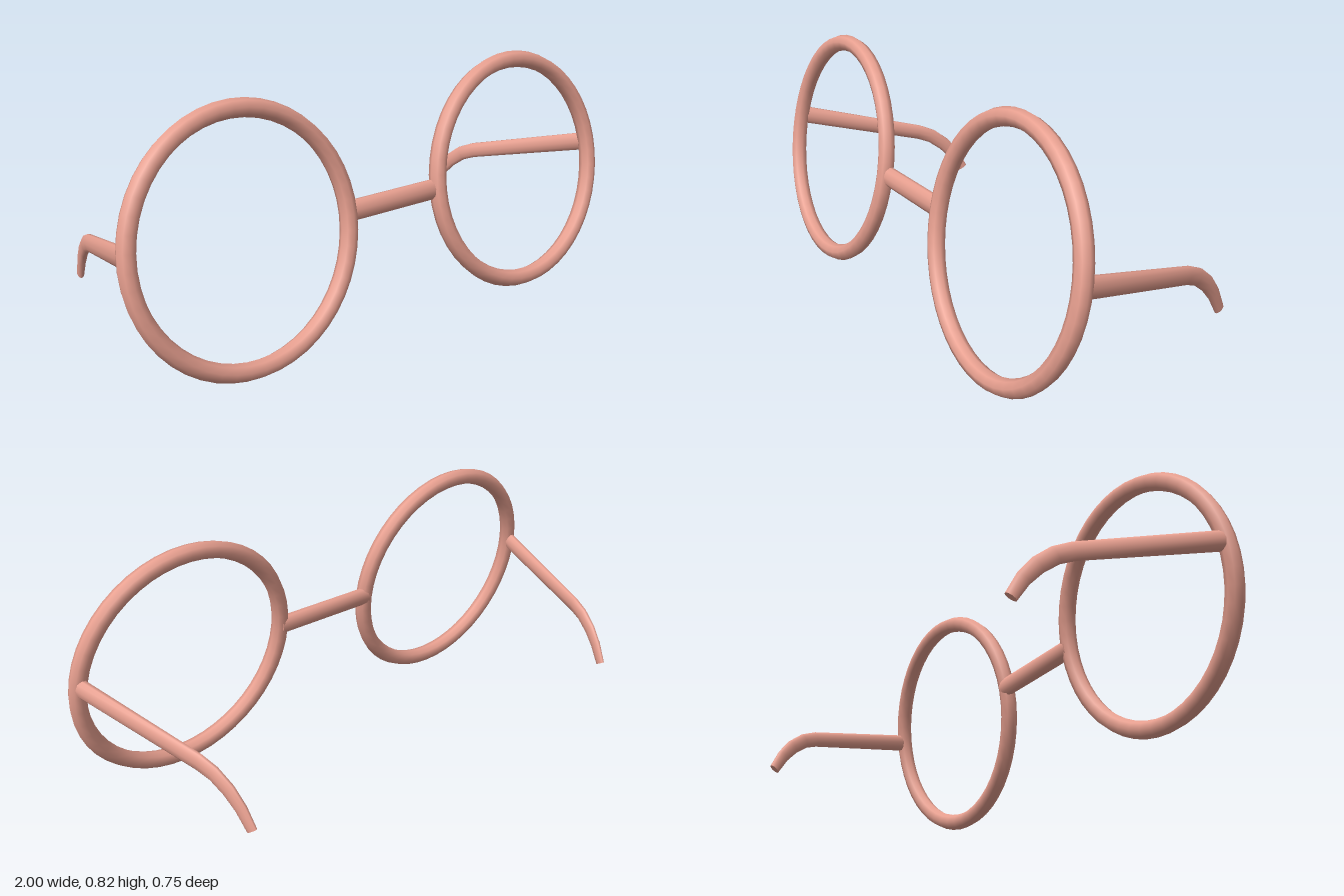
import * as THREE from 'three';

const TILT = -0.168; // the front leans back at the top
const CENTRE = { y: 0.417, z: 0.283 };
const SIDES = 10;

// Sweeps an ellipse along stations [x, y, z, halfHeight, halfThickness], closed at both ends.
// "side" is the fixed horizontal thickness direction.
function sweep(stations, side) {
  const points = stations.map(([x, y, z]) => new THREE.Vector3(x, y, z));
  const positions = [], index = [];
  const rings = points.map((p, i) => {
    const tangent = points[Math.min(i + 1, points.length - 1)].clone()
      .sub(points[Math.max(i - 1, 0)]).normalize();
    const up = new THREE.Vector3().crossVectors(tangent, side).normalize();
    const [, , , height, thick] = stations[i];
    return Array.from({ length: SIDES }, (_, k) => {
      const a = (k / SIDES) * Math.PI * 2;
      return p.clone().addScaledVector(side, Math.cos(a) * thick)
        .addScaledVector(up, Math.sin(a) * height);
    });
  });
  const push = (v) => positions.push(v.x, v.y, v.z) / 3 - 1;

  // skin; side, up and tangent are left-to-right ordered so faces point outwards
  rings.forEach((ring) => ring.forEach(push));
  for (let i = 0; i < rings.length - 1; i++) {
    for (let k = 0; k < SIDES; k++) {
      const a = i * SIDES + k, b = i * SIDES + ((k + 1) % SIDES);
      index.push(a, b, a + SIDES, b, b + SIDES, a + SIDES);
    }
  }
  // flat end caps with their own vertices
  [0, rings.length - 1].forEach((r) => {
    const hub = push(points[r]);
    const rim = rings[r].map(push);
    for (let k = 0; k < SIDES; k++) {
      const a = rim[k], b = rim[(k + 1) % SIDES];
      if (r === 0) index.push(hub, b, a);
      else index.push(hub, a, b);
    }
  });
  const geometry = new THREE.BufferGeometry();
  geometry.setAttribute('position', new THREE.Float32BufferAttribute(positions, 3));
  geometry.setIndex(index);
  geometry.computeVertexNormals();
  return geometry;
}

export function createModel() {
  const model = new THREE.Group();
  model.name = 'roundGlasses';
  const material = new THREE.MeshStandardMaterial({ color: 0xe8a090 });
  const add = (name, geometry, parent = model) => {
    const mesh = new THREE.Mesh(geometry, material);
    mesh.name = name;
    parent.add(mesh);
    return mesh;
  };

  // tilted front: two rims and the bridge between them
  const front = new THREE.Group();
  front.name = 'frontFrame';
  front.position.set(0, CENTRE.y, CENTRE.z);
  front.rotation.x = TILT;
  model.add(front);
  for (const s of [1, -1]) {
    const rim = add(s > 0 ? 'leftRim' : 'rightRim', new THREE.TorusGeometry(0.387, 0.029, 8, 48), front);
    rim.position.x = s * 0.582;
  }
  add('bridge', sweep([
    [-0.2, 0.005, -0.008, 0.034, 0.023],
    [0.2, 0.005, -0.008, 0.034, 0.023],
  ], new THREE.Vector3(0, 0, 1)), front);

  // temples: [z, y, halfHeight, halfThickness] from hinge to ear tip
  const profile = [
    [0.275, 0.453, 0.033, 0.021],
    [-0.18, 0.341, 0.029, 0.016],
    [-0.232, 0.32, 0.028, 0.015],
    [-0.282, 0.282, 0.027, 0.014],
    [-0.322, 0.235, 0.024, 0.013],
    [-0.357, 0.174, 0.02, 0.011],
  ];
  const splay = 0.272; // inward drift per unit of depth
  for (const s of [1, -1]) {
    const stations = profile.map(([z, y, h, t]) =>
      [s * (0.97 - splay * (0.275 - z)), y, z, h, t]);
    const side = new THREE.Vector3(1, 0, -s * splay).normalize();
    add(s > 0 ? 'leftTemple' : 'rightTemple', sweep(stations, side));
  }
  return model;
}
